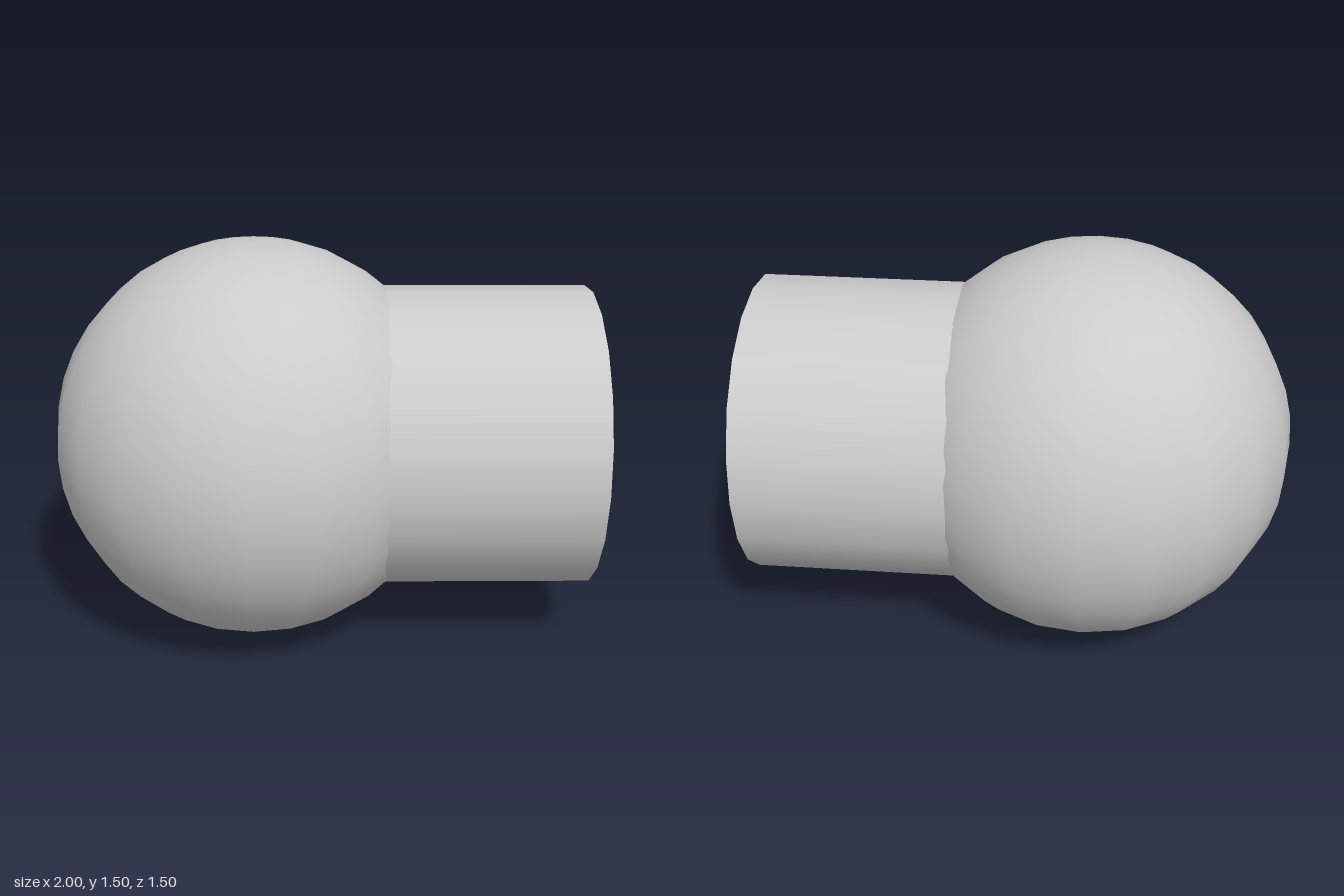
import * as THREE from 'three';

const SIDES = 20;
const OUTER = 0.565, BORE = 0.37, END = 1;
const BALL = 0.75, BALL_X = -0.25;

export function createModel() {
  const model = new THREE.Group();
  const grey = new THREE.MeshStandardMaterial({ color: 0xcccccc });

  // solid ball
  const ball = new THREE.Mesh(new THREE.SphereGeometry(BALL, SIDES, SIDES), grey);
  ball.name = 'ball';
  ball.position.set(BALL_X, BALL, 0);
  model.add(ball);

  // hollow sleeve, revolved about y and then laid along +x
  const sleeve = new THREE.Group();
  sleeve.name = 'sleeve';
  sleeve.rotation.z = -Math.PI / 2;
  sleeve.position.y = BALL;
  model.add(sleeve);

  // each surface is its own [radius, distance] line, which keeps the rims sharp
  const surfaces = {
    sleeveOuterWall: [[OUTER, 0.22], [OUTER, END]],
    sleeveEndFace: [[OUTER, END], [BORE, END]],
    sleeveBore: [[BORE, END], [BORE, 0.38]], // stops just inside the ball
  };
  for (const [name, line] of Object.entries(surfaces)) {
    const points = line.map(([r, d]) => new THREE.Vector2(r, d));
    const mesh = new THREE.Mesh(new THREE.LatheGeometry(points, SIDES), grey);
    mesh.name = name;
    sleeve.add(mesh);
  }
  return model;
}
